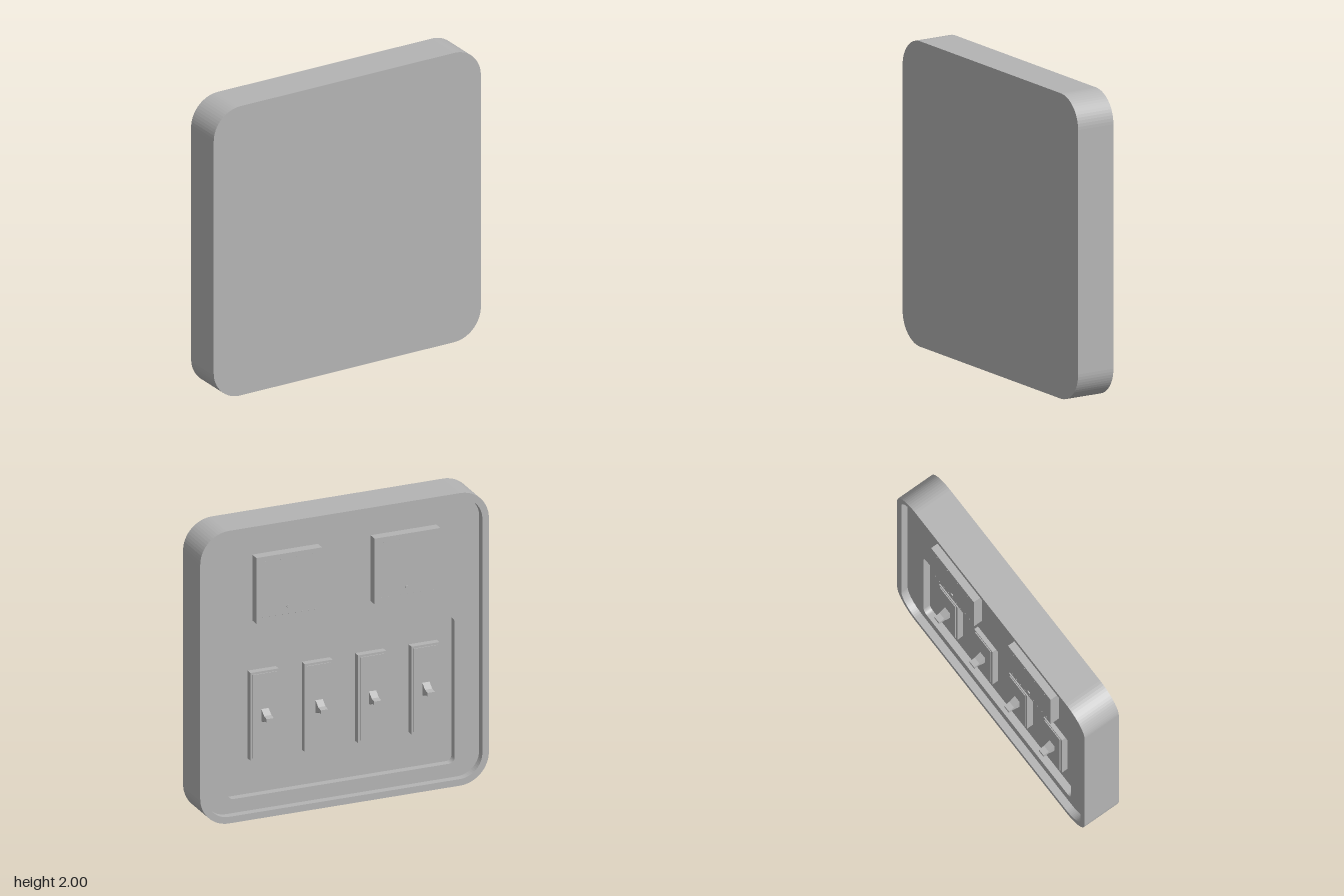
import * as THREE from 'three';

// Rounded rectangle traced on a Shape or Path
function roundedRect(path, x0, y0, x1, y1, r) {
  path.moveTo(x0 + r, y0);
  path.lineTo(x1 - r, y0);
  path.absarc(x1 - r, y0 + r, r, -Math.PI / 2, 0, false);
  path.lineTo(x1, y1 - r);
  path.absarc(x1 - r, y1 - r, r, 0, Math.PI / 2, false);
  path.lineTo(x0 + r, y1);
  path.absarc(x0 + r, y1 - r, r, Math.PI / 2, Math.PI, false);
  path.lineTo(x0, y0 + r);
  path.absarc(x0 + r, y0 + r, r, Math.PI, Math.PI * 1.5, false);
  return path;
}

export function createModel() {
  const grey = new THREE.MeshStandardMaterial({ color: 0xb4b4b4 });
  grey.name = 'grey';
  const model = new THREE.Group();
  model.name = 'switchPanel';

  function add(parent, name, geometry, x = 0, y = 0, z = 0) {
    const mesh = new THREE.Mesh(geometry, grey);
    mesh.name = name;
    mesh.position.set(x, y, z);
    parent.add(mesh);
    return mesh;
  }

  // Housing: three stacked slabs, each open slab forming one recess step
  function slab(name, zBack, zFront, hole) {
    const shape = roundedRect(new THREE.Shape(), -1, 0, 1, 2, 0.2);
    if (hole) shape.holes.push(roundedRect(new THREE.Path(), ...hole));
    const geometry = new THREE.ExtrudeGeometry(shape, {
      depth: zFront - zBack, bevelEnabled: false, curveSegments: 8,
    });
    add(model, name, geometry, 0, 0, zBack);
  }
  const floorZ = -0.07, recessZ = -0.02;
  slab('housingFront', recessZ, 0.15);
  slab('housingFloor', floorZ, recessZ, [-0.785, 0.14, 0.785, 1.14, 0.04]);
  slab('housingRim', -0.12, floorZ, [-0.955, 0.045, 0.955, 1.955, 0.155]);

  // Disc whose axis points out of the back
  const disc = (r, depth) => new THREE.CylinderGeometry(r, r, depth, 12).rotateX(Math.PI / 2);

  // Two square display modules with pin rows and a small button
  const pin = disc(0.004, 0.004);
  for (const x of [-0.43, 0.39]) {
    const display = new THREE.Group();
    display.name = 'displayModule';
    display.position.set(x, 1.565, 0);
    model.add(display);
    add(display, 'displayBox', new THREE.BoxGeometry(0.455, 0.45, 0.075), 0, 0, -0.0975);
    add(display, 'displayButton', disc(0.013, 0.01), 0.005, -0.14, -0.136);
    for (let i = 0; i < 4; i++) add(display, 'topPin', pin, -0.165 + i * 0.11, 0.19, -0.1355);
    for (let i = 0; i < 9; i++) add(display, 'bottomPin', pin, -0.18 + i * 0.045, -0.19, -0.1355);
  }

  // Lever side profile (z outward from the back, y), swept across x
  const lever = new THREE.Shape([
    [0.05, 0.045], [0.07, 0.045], [0.115, 0.012], [0.155, 0.005],
    [0.155, -0.02], [0.115, -0.02], [0.085, -0.04], [0.05, -0.04],
  ].map(([z, y]) => new THREE.Vector2(z, y)));
  const leverGeometry = new THREE.ExtrudeGeometry(lever, { depth: 0.05, bevelEnabled: false });
  leverGeometry.translate(0, 0, -0.025).rotateY(Math.PI / 2);

  // Four toggle switches in the lower recess
  for (const x of [-0.585, -0.215, 0.155, 0.53]) {
    const unit = new THREE.Group();
    unit.name = 'toggleSwitch';
    unit.position.set(x, 0.68, 0);
    model.add(unit);
    add(unit, 'switchPlate', new THREE.BoxGeometry(0.195, 0.6, 0.05), 0, 0, -0.04);
    add(unit, 'switchFace', new THREE.BoxGeometry(0.165, 0.57, 0.008), 0, 0, -0.067);
    add(unit, 'switchLever', leverGeometry);
  }

  return model;
}
